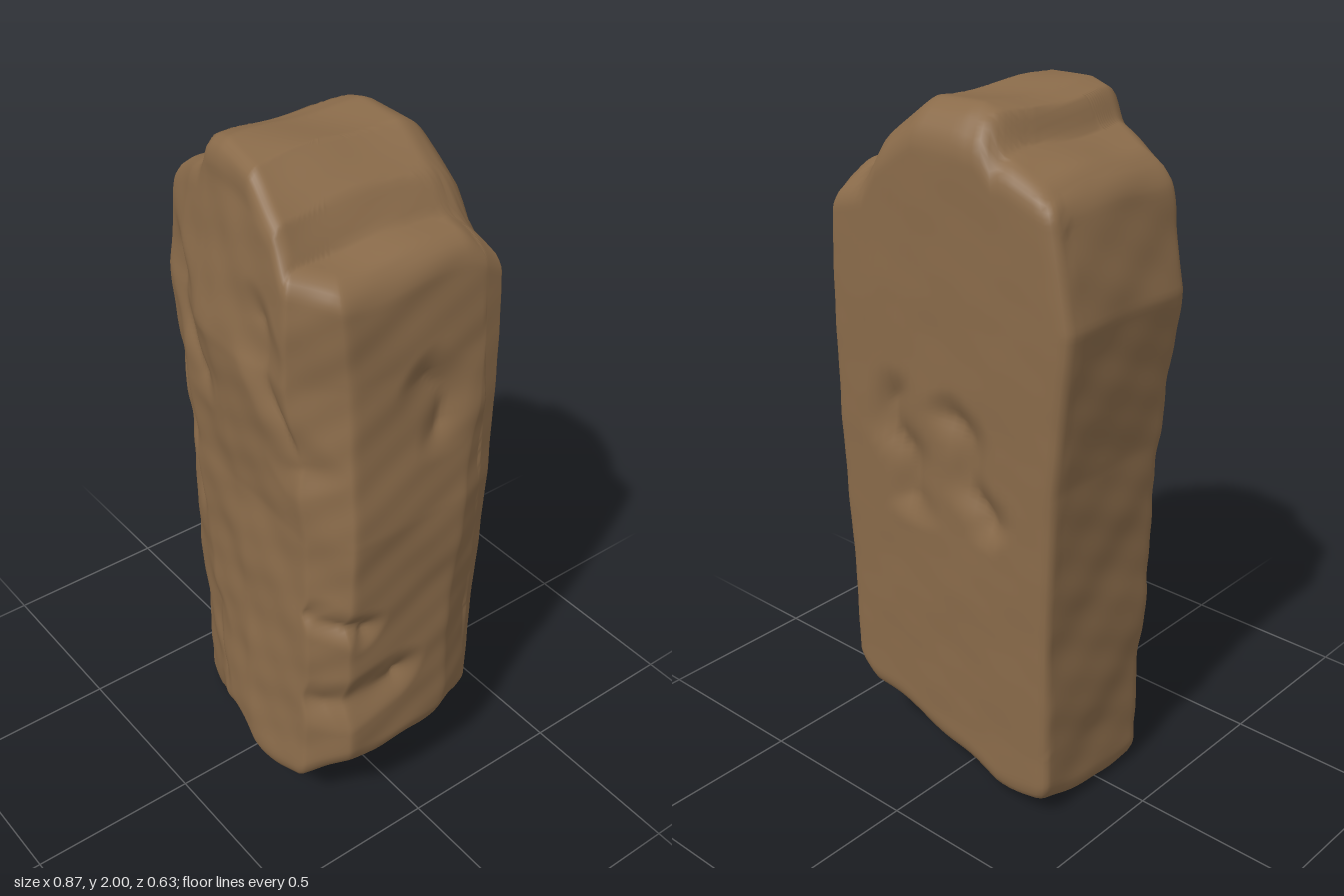
import * as THREE from 'three';

// Horizontal cross-sections: height, then 8 corners (x, z) running from the
// back -x corner, along the -x side, across the front, and round the +x side.
const SECTIONS = [
  [0.2, -.35, -.265, -.353, .155, -.08, .285, .1, .313, .33, .3, .435, .2, .425, -.13, .36, -.28],
  [0.65, -.364, -.28, -.366, .165, -.17, .25, .05, .285, .33, .285, .418, .2, .425, -.135, .365, -.29],
  [1.05, -.384, -.288, -.386, .17, -.26, .23, 0, .266, .31, .275, .418, .19, .418, -.18, .375, -.302],
  [1.5, -.438, -.297, -.44, .172, -.28, .245, -.08, .295, .26, .308, .368, .17, .375, -.25, .365, -.312],
  [1.9, -.365, -.302, -.37, .165, -.26, .2, 0, .245, .26, .285, .342, .2, .35, -.25, .343, -.312],
];

// Crest and underside heights along x
const TOP = [[-.37, 1.835], [-.2, 1.9], [-.165, 1.975], [-.1, 1.994], [.05, 1.994],
  [.18, 1.905], [.235, 1.815], [.33, 1.79], [.4, 1.76]];
const BASE = [[-.4, .03], [-.33, 0], [-.17, 0], [.12, .1], [.3, .15], [.44, .26]];

// Carved grooves on each face: start (across, height), end, radius, depth
const FRONT_CUTS = [
  [.13, 1.64, .27, 1.27, .1, .026],
  [-.34, 1.6, -.18, 1.32, .1, .026],
  [-.35, 1.2, -.29, .85, .09, .03],
  [-.17, .5, -.12, .28, .09, .02],
];
const SIDE_CUTS = [
  [.24, .48, .05, .52, .1, .045],
  [.25, .8, .17, .75, .07, .035],
  [-.08, 1.45, -.12, 1.3, .1, .03],
];
const BACK_CUTS = [
  [.18, 1.17, .1, .9, .1, .035],
  [-.06, 1.17, -.15, .9, .09, .035],
];

const { lerp, smoothstep, clamp } = THREE.MathUtils;

function along(table, x) {
  if (x <= table[0][0]) return table[0][1];
  for (let i = 1; i < table.length; i++) {
    const [x0, y0] = table[i - 1], [x1, y1] = table[i];
    if (x <= x1) return lerp(y0, y1, (x - x0) / (x1 - x0));
  }
  return table[table.length - 1][1];
}

// Corner n of the outline at height y
function corner(n, y) {
  let i = 0;
  while (i < SECTIONS.length - 2 && y > SECTIONS[i + 1][0]) i++;
  const a = SECTIONS[i], b = SECTIONS[i + 1], k = 1 + (n % 8) * 2;
  const t = clamp((y - a[0]) / (b[0] - a[0]), 0, 1);
  return [lerp(a[k], b[k], t), lerp(a[k + 1], b[k + 1], t)];
}

// Outline point at t (0..8), with softened corners
function outline(t, y) {
  let x = 0, z = 0;
  for (const d of [-.045, -.015, .015, .045]) {
    const s = (t + d + 8) % 8, n = Math.floor(s);
    const a = corner(n, y), b = corner(n + 1, y);
    x += lerp(a[0], b[0], s - n) / 4;
    z += lerp(a[1], b[1], s - n) / 4;
  }
  return [x, z];
}

const topY = (x, z) => along(TOP, x + .012 * Math.sin(z * 9 + 1))
  + .006 * Math.sin(z * 17 + x * 9) - .06 * smoothstep(-z, .2, .33) * smoothstep(x, -.25, -.1);
const baseY = (x, z) => along(BASE, x)
  + .13 * smoothstep(z, .17, .25) * (1 - smoothstep(x, -.05, .15))
  + .04 * smoothstep(-z, .05, .28)
  + .008 * (1 + Math.sin(x * 23 + z * 11) * Math.sin(z * 19));

// Gentle, uneven weathering
const wear = (x, y, z) => .004 * Math.sin(x * 9 + y * 3) * Math.sin(y * 8 - z * 6 + 1)
  + .004 * Math.sin(y * 17 - x * 5) * Math.sin(x * 14 + z * 12 + y * 4)
  + .002 * Math.sin(y * 37 + x * 8) * Math.sin(x * 27 - z * 23 - y * 11);

// Total depth carved by a face's grooves at (u, y)
function carve(cuts, u, y) {
  let depth = 0;
  for (const [u0, y0, u1, y1, r, d] of cuts) {
    const du = u1 - u0, dy = y1 - y0;
    const t = clamp(((u - u0) * du + (y - y0) * dy) / (du * du + dy * dy), 0, 1);
    const wander = .02 * Math.sin(y * 25 + u * 13);
    const distance = Math.hypot(u - u0 - du * t + wander, y - y0 - dy * t);
    depth += d * Math.max(0, 1 - distance / r) ** 1.5;
  }
  return depth;
}

function stoneGeometry() {
  const around = 224, wall = 120, cap = 32;
  // Rows run from the underside's middle, up the wall, to the crest's middle
  const rows = [];
  for (let i = 0; i < cap; i++) rows.push([i / cap, 0]);
  for (let i = 0; i <= wall; i++) rows.push([1, i / wall]);
  for (let i = cap - 1; i >= 0; i--) rows.push([i / cap, 1]);

  const pos = [], index = [];
  rows.forEach(([s, v], j) => {
    const edge = .022 * Math.max(0, (s - .85) / .15) ** 2;
    const nearEnd = Math.max(0, 1 - Math.min(v, 1 - v) / .025);
    const inset = s * (1 - .035 * nearEnd * nearEnd);
    for (let i = 0; i < around; i++) {
      let x, z, y = lerp(.1, 1.85, v);
      // Settle the height between the sloping underside and crest
      for (let k = 0; k < 3; k++) {
        [x, z] = outline(i / around * 8, y).map((c) => c * inset);
        y = lerp(baseY(x, z) + edge * .6, topY(x, z) - edge, v);
      }
      const w = wear(x, y, z) * s * (z < -.25 ? .3 : 1), len = Math.hypot(x, z) || 1;
      const front = carve(FRONT_CUTS, x, y) * smoothstep(z, .1, .2);
      const side = carve(SIDE_CUTS, z, y) * smoothstep(x, .25, .35);
      const back = carve(BACK_CUTS, x, y) * smoothstep(-z, .15, .25);
      pos.push(x + x / len * w - side, y, z + z / len * w - front + back);
      if (j < rows.length - 1) {
        const a = j * around + i, b = j * around + (i + 1) % around;
        index.push(a, b, b + around, a, b + around, a + around);
      }
    }
  });
  const g = new THREE.BufferGeometry();
  g.setAttribute('position', new THREE.Float32BufferAttribute(pos, 3));
  g.setIndex(index);
  g.computeVertexNormals();
  return g;
}

export function createModel() {
  const stone = new THREE.MeshStandardMaterial({ color: 0x8a6b4a });
  stone.name = 'brown stone';
  const pillar = new THREE.Mesh(stoneGeometry(), stone);
  pillar.name = 'rockPillar';
  const model = new THREE.Group();
  model.name = 'standingStone';
  model.add(pillar);
  return model;
}
